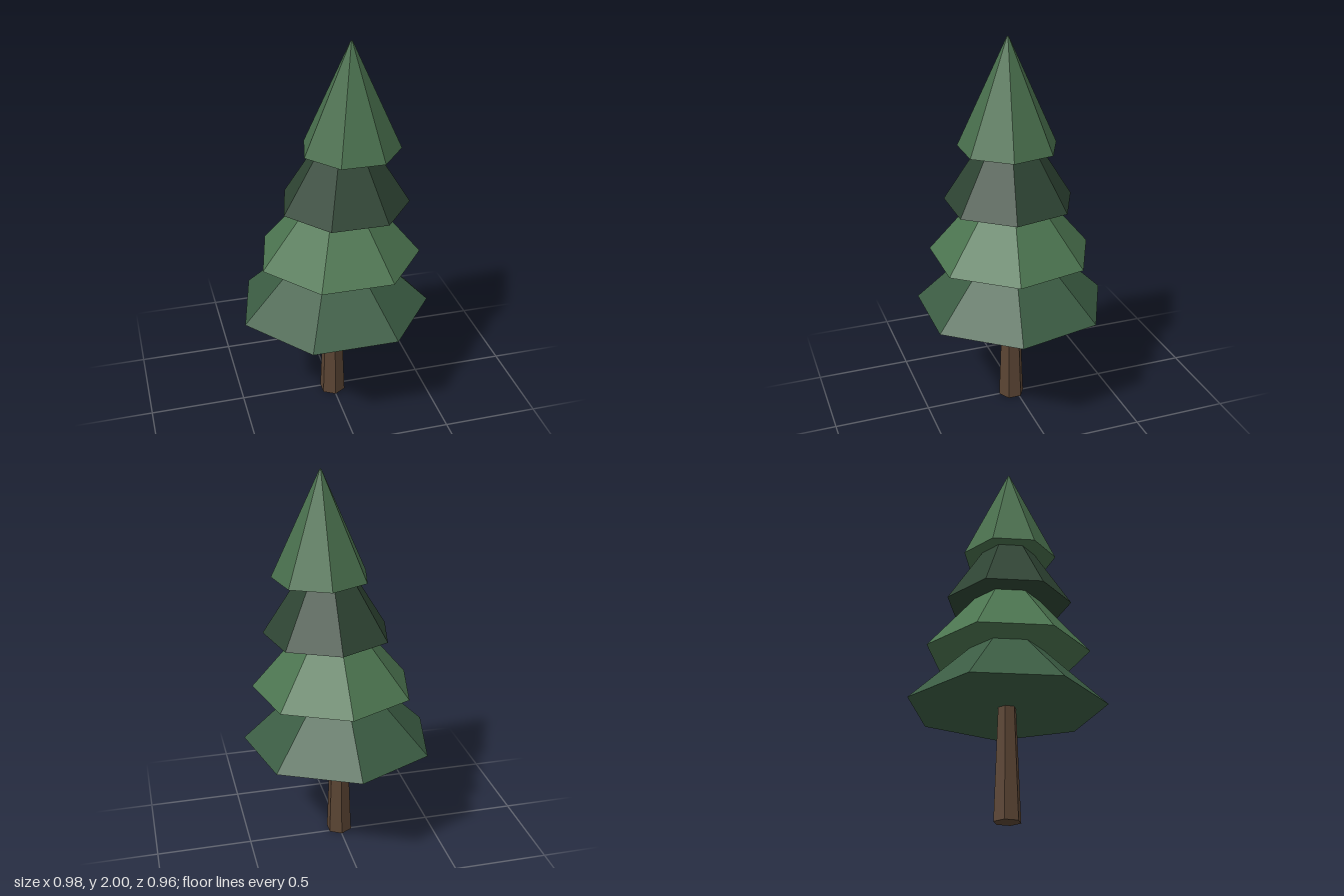
import * as THREE from 'three';

const material = (color) => new THREE.MeshStandardMaterial({ color, flatShading: true });

export function createModel() {
  const tree = new THREE.Group();
  tree.name = 'pineTree';

  // Tapered six-sided trunk, sunk slightly into the lowest tier
  const trunkHeight = 0.6;
  const trunk = new THREE.Mesh(
    new THREE.CylinderGeometry(0.046, 0.0695, trunkHeight, 6),
    material(0x5a4433)
  );
  trunk.name = 'trunk';
  trunk.position.set(-0.001, trunkHeight / 2, 0.0265);
  tree.add(trunk);

  // Seven-sided foliage tiers, each drifting a little further off the trunk axis
  const tiers = [
    { name: 'lowestTier', x: 0, z: 0.024, y: 0.57, radius: 0.504, height: 0.49, color: 0x3b5c43 },
    { name: 'lowerTier', x: 0.025, z: 0.036, y: 0.87, radius: 0.424, height: 0.505, color: 0x4c7550 },
    { name: 'upperTier', x: 0.051, z: 0.052, y: 1.165, radius: 0.332, height: 0.525, color: 0x2e4433 },
    { name: 'topTier', x: 0.079, z: 0.067, y: 1.46, radius: 0.252, height: 0.54, tip: 0.005, color: 0x486e4c },
  ];
  for (const { name, x, z, y, radius, height, tip = 0, color } of tiers) {
    const tier = new THREE.Mesh(
      new THREE.CylinderGeometry(tip, radius, height, 7),
      material(color)
    );
    tier.name = name;
    tier.position.set(x, y + height / 2, z);
    tier.rotation.y = Math.PI; // one corner points to the back
    tree.add(tier);
  }

  return tree;
}
